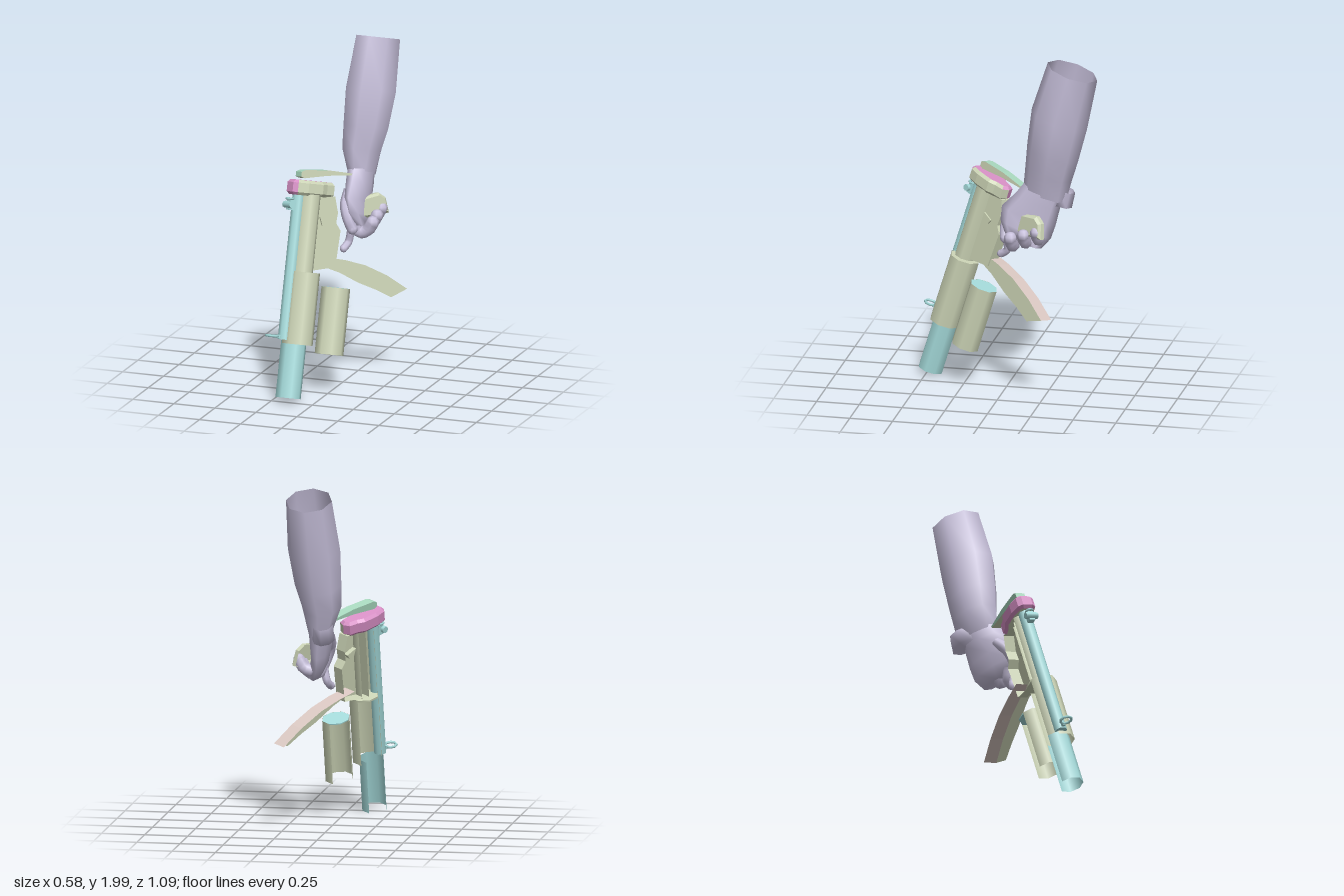
import * as THREE from 'three';

const mat = (name, color) => {
  const m = new THREE.MeshStandardMaterial({ color, side: THREE.DoubleSide });
  m.name = name;
  return m;
};
const sage = mat('sage', 0xccd4b6), teal = mat('teal', 0xa5dbdb), lavender = mat('lavender', 0xc7c0db);
const pink = mat('pink', 0xd890c6), mint = mat('mint', 0xa8d8be), beige = mat('beige', 0xd8c6c0);

function add(parent, name, geo, material, x = 0, y = 0, z = 0) {
  const m = new THREE.Mesh(geo, material);
  m.name = name;
  m.position.set(x, y, z);
  parent.add(m);
  return m;
}

// Flat profile pushed out from z0 to z1
function plate(points, z0, z1, bevel = 0) {
  const shape = new THREE.Shape(points.map(p => new THREE.Vector2(...p)));
  return new THREE.ExtrudeGeometry(shape, {
    depth: z1 - z0 - 2 * bevel, bevelEnabled: bevel > 0, bevelSize: bevel,
    bevelThickness: bevel, bevelOffset: -bevel, bevelSegments: 1
  }).translate(0, 0, z0 + bevel);
}

// Sorts faces into material groups 0 and 1 by their normal; -1 leaves a face out
function sortFaces(geo, pick) {
  const p = geo.attributes.position, lists = [[], []];
  const [a, b, c] = [0, 1, 2].map(() => new THREE.Vector3());
  for (let i = 0; i < p.count; i += 3) {
    a.fromBufferAttribute(p, i); b.fromBufferAttribute(p, i + 1); c.fromBufferAttribute(p, i + 2);
    const k = pick(b.sub(a).cross(c.sub(a)).normalize());
    if (k >= 0) lists[k].push(i, i + 1, i + 2);
  }
  geo.setIndex([...lists[0], ...lists[1]]);
  geo.clearGroups();
  geo.addGroup(0, lists[0].length, 0);
  if (lists[1].length) geo.addGroup(lists[0].length, lists[1].length, 1);
  return geo;
}
const openBack = geo => sortFaces(geo, n => (n.z < -0.5 ? -1 : 0));

// Eight-sided tube standing between two heights, open along one side when shell is true
function tube(r, y0, y1, shell = false) {
  const start = -Math.PI * 0.875;
  return new THREE.CylinderGeometry(r, r, y1 - y0, shell ? 6 : 8, 1, shell,
    start, shell ? Math.PI * 1.5 : Math.PI * 2).translate(0, (y0 + y1) / 2, 0);
}

// Skin over tilted oval rings [x, y, z, radius x, radius z], listed from the top down
function loft(rings, sides, capEnd) {
  const pos = [], idx = [];
  for (const [x, y, z, rx, rz] of rings) {
    for (let j = 0; j < sides; j++) {
      const t = j / sides * Math.PI * 2, s = Math.sin(t) * rz;
      pos.push(x + Math.cos(t) * rx, y + s * 0.3, z + s * 0.95);
    }
  }
  for (let i = 0; i < rings.length - 1; i++) {
    for (let j = 0; j < sides; j++) {
      const a = i * sides + j, b = i * sides + (j + 1) % sides;
      idx.push(a, b, a + sides, b, b + sides, a + sides);
    }
  }
  if (capEnd) {
    const o = (rings.length - 1) * sides;
    for (let j = 1; j < sides - 1; j++) idx.push(o, o + j, o + j + 1);
  }
  const g = new THREE.BufferGeometry();
  g.setAttribute('position', new THREE.Float32BufferAttribute(pos, 3));
  g.setIndex(idx);
  g.computeVertexNormals();
  return g;
}

function finger(parent, name, points, r) {
  const v = points.map(p => new THREE.Vector3(...p));
  add(parent, name, new THREE.TubeGeometry(new THREE.CatmullRomCurve3(v), 8, r, 7), lavender);
  add(parent, name + 'Tip', new THREE.SphereGeometry(r, 7, 5), lavender, ...points[points.length - 1]);
}

function buildGun() {
  const gun = new THREE.Group();
  gun.name = 'gun';

  // Barrel, hand guard and the tube along the top, with y running from muzzle to butt
  add(gun, 'barrel', tube(0.074, 0, 0.325, true), teal);
  add(gun, 'handGuard', tube(0.09, 0.31, 0.725, true), sage, 0.012, 0, 0.02);
  add(gun, 'handGuardCap', tube(0.088, 0.715, 0.725), sage, 0.012, 0, 0.02);
  add(gun, 'topTube', tube(0.036, 0.33, 1.16), teal, -0.07);

  // Lower canister, slightly oval
  add(gun, 'canister', tube(0.077, 0.27, 0.654, true).scale(1.12, 1, 1), sage, 0.229, 0, 0.032);
  add(gun, 'canisterLid', tube(0.076, 0.647, 0.654).scale(1.12, 1, 1), teal, 0.229, 0, 0.032);

  // Receiver with its side panel and lever, hollow at the back
  add(gun, 'receiver', tube(0.065, 0.725, 1.17, true), sage, 0, 0, 0.008);
  add(gun, 'receiverPanel', openBack(plate([[0.02, 0.73], [0.21, 0.77], [0.22, 0.98], [0.185, 1.02],
    [0.19, 1.08], [0.16, 1.17], [0.02, 1.17]], -0.032, 0.034)), [sage]);
  add(gun, 'lever', plate([[0.065, 1.045], [0.135, 1.025], [0.12, 1.0], [0.085, 1.0]], 0.005, 0.043), sage);

  // Butt plate, scalloped outline
  const outline = [[-0.135, -0.03], [-0.115, -0.055], [-0.05, -0.068], [0.05, -0.068], [0.09, -0.05], [0.145, -0.04],
    [0.16, 0], [0.145, 0.04], [0.09, 0.05], [0.05, 0.07], [-0.05, 0.07], [-0.115, 0.055], [-0.135, 0.03]];
  const butt = plate(outline, 1.16, 1.247, 0.016).rotateX(-Math.PI / 2);
  const isPink = n => n.y > 0.9 || n.z < -0.3 || n.x < -0.55 || (n.y > 0.5 && n.z < 0.3);
  add(gun, 'buttPlate', sortFaces(butt, n => (isPink(n) ? 0 : 1)), [pink, sage]);

  // Thin bar behind the butt
  const bar = plate([[-0.085, 1.265], [-0.06, 1.258], [0.1, 1.285], [0.26, 1.3], [0.265, 1.311],
    [0.1, 1.316], [-0.06, 1.305], [-0.085, 1.293]], -0.028, 0.03);
  add(gun, 'stockBar', sortFaces(bar, n => (n.y > 0.4 || n.z < -0.5 || n.x < -0.5 ? 0 : 1)), [mint, sage]);

  // Curved magazine, only its outer side and upper face
  const mag = plate([[0.13, 0.766], [0.25, 0.74], [0.386, 0.693], [0.51, 0.663], [0.62, 0.628],
    [0.725, 0.686], [0.58, 0.75], [0.42, 0.797], [0.28, 0.815], [0.15, 0.82]], -0.055, 0.025);
  add(gun, 'magazine', sortFaces(mag, n => (n.z > 0.5 ? 1 : n.y > 0.4 ? 0 : -1)), [beige, sage]);

  // Pistol grip
  add(gun, 'grip', openBack(plate([[0.3, 1.05], [0.42, 1.075], [0.54, 1.11], [0.505, 1.195], [0.455, 1.217],
    [0.32, 1.173], [0.285, 1.113]], -0.005, 0.048, 0.014)), [sage]);

  // Sights
  add(gun, 'rearSightBase', new THREE.BoxGeometry(0.05, 0.06, 0.035), teal, -0.11, 1.1);
  add(gun, 'rearSightDrum', new THREE.CylinderGeometry(0.02, 0.02, 0.075, 8).rotateX(Math.PI / 2), teal, -0.132, 1.1);
  add(gun, 'rearSightRing', new THREE.TorusGeometry(0.02, 0.007, 5, 8).rotateX(Math.PI / 2), teal, -0.128, 1.135);
  add(gun, 'frontSightRing', new THREE.TorusGeometry(0.034, 0.008, 5, 8).rotateX(Math.PI / 2), teal, -0.154, 0.345);
  add(gun, 'frontSightPost', new THREE.BoxGeometry(0.03, 0.02, 0.018), teal, -0.108, 0.345);

  // Lean the gun so the muzzle points down and forward
  const up = new THREE.Vector3(0, 0.957, -0.29).normalize();
  const grip = new THREE.Vector3(0.588, -0.235, -0.774);
  const side = grip.clone().cross(up).normalize();
  grip.crossVectors(up, side);
  gun.quaternion.setFromRotationMatrix(new THREE.Matrix4().makeBasis(grip, up, side));
  gun.position.set(-0.155, 0.027, 0.48);
  return gun;
}

function buildArm() {
  const arm = new THREE.Group();
  arm.name = 'arm';

  // Open sleeve of the forearm
  add(arm, 'forearm', loft([
    [0.065, 1.955, -0.4, 0.133, 0.152], [0.05, 1.66, -0.32, 0.152, 0.17],
    [0.035, 1.45, -0.277, 0.136, 0.156], [0.019, 1.32, -0.25, 0.115, 0.142],
    [0.028, 1.19, -0.228, 0.074, 0.13]], 8, false), lavender);
  add(arm, 'cuff', loft([
    [0.0, 1.225, -0.325, 0.06, 0.08], [-0.002, 1.135, -0.3, 0.065, 0.085]], 8, true), lavender);

  // Palm wrapped over the grip
  add(arm, 'palm', loft([
    [0.028, 1.24, -0.235, 0.072, 0.115], [0.032, 1.15, -0.19, 0.072, 0.135],
    [0.04, 1.06, -0.138, 0.058, 0.165], [0.05, 0.98, -0.122, 0.05, 0.155],
    [0.075, 0.91, -0.115, 0.04, 0.11]], 8, true), lavender);

  // Three curled fingers
  for (let i = 0; i < 3; i++) {
    const z = -0.045 - i * 0.075, y = i * 0.022;
    finger(arm, 'finger', [[0.05, 0.97 + y, z], [0.075, 0.895 + y, z - 0.01],
      [0.125, 0.905 + y, z - 0.015], [0.158, 0.955 + y, z - 0.012]], 0.039 - i * 0.002);
  }
  finger(arm, 'indexFinger', [[0.05, 0.97, -0.02], [0.045, 0.91, -0.01], [0.03, 0.84, -0.01], [0.015, 0.81, 0.03]], 0.023);
  finger(arm, 'thumb', [[0.0, 1.12, -0.1], [0.005, 1.05, -0.025], [0.03, 0.98, 0.0], [0.055, 0.92, -0.005]], 0.032);
  return arm;
}

export function createModel() {
  const model = new THREE.Group();
  model.name = 'armHoldingGun';
  model.add(buildGun(), buildArm());
  return model;
}
